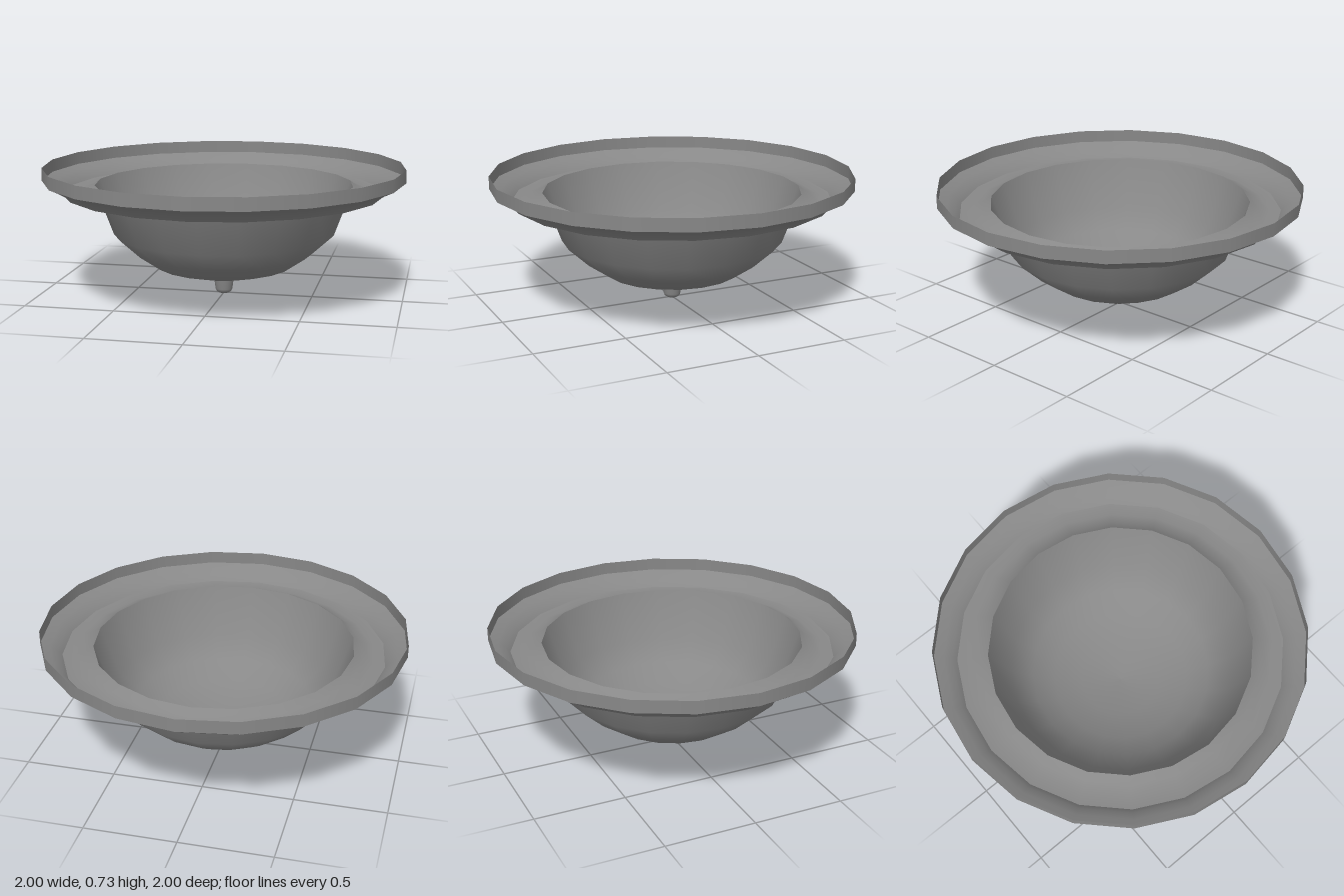
import * as THREE from 'three';

const SIDES = 20;
const material = new THREE.MeshStandardMaterial({ color: 0x888888, side: THREE.DoubleSide });

// Revolves a bottom-to-top [radius, height] profile; separate pieces keep the creases sharp.
function turned(name, profile) {
  const points = profile.map(([r, y]) => new THREE.Vector2(r, y));
  const mesh = new THREE.Mesh(new THREE.LatheGeometry(points, SIDES), material);
  mesh.name = name;
  return mesh;
}

export function createModel() {
  const lamp = new THREE.Group();
  lamp.name = 'ceilingLamp';

  // Rim: upright band, concave cove and the underside ring that rises to the bowl lip
  const rim = new THREE.Group();
  rim.name = 'rim';
  rim.add(
    turned('rimBand', [[1, 0.657], [1, 0.727]]),
    turned('rimCove', [[0.885, 0.583], [0.91, 0.61], [0.95, 0.634], [1, 0.657]]),
    turned('rimRing', [[0.715, 0.626], [0.76, 0.594], [0.82, 0.577], [0.885, 0.583]]),
  );

  // Open shade bowl
  const bowl = turned('bowl', [
    [0, 0.092], [0.085, 0.097], [0.225, 0.122], [0.38, 0.165],
    [0.5, 0.247], [0.615, 0.352], [0.715, 0.626],
  ]);

  // Finial: small washer and rounded pin below the bowl
  const finial = new THREE.Group();
  finial.name = 'finial';
  finial.add(
    turned('finialWasher', [[0.05, 0.083], [0.07, 0.086], [0.085, 0.097]]),
    turned('finialPin', [[0, 0], [0.03, 0.002], [0.042, 0.01], [0.048, 0.025], [0.056, 0.085]]),
  );

  lamp.add(rim, bowl, finial);
  return lamp;
}
